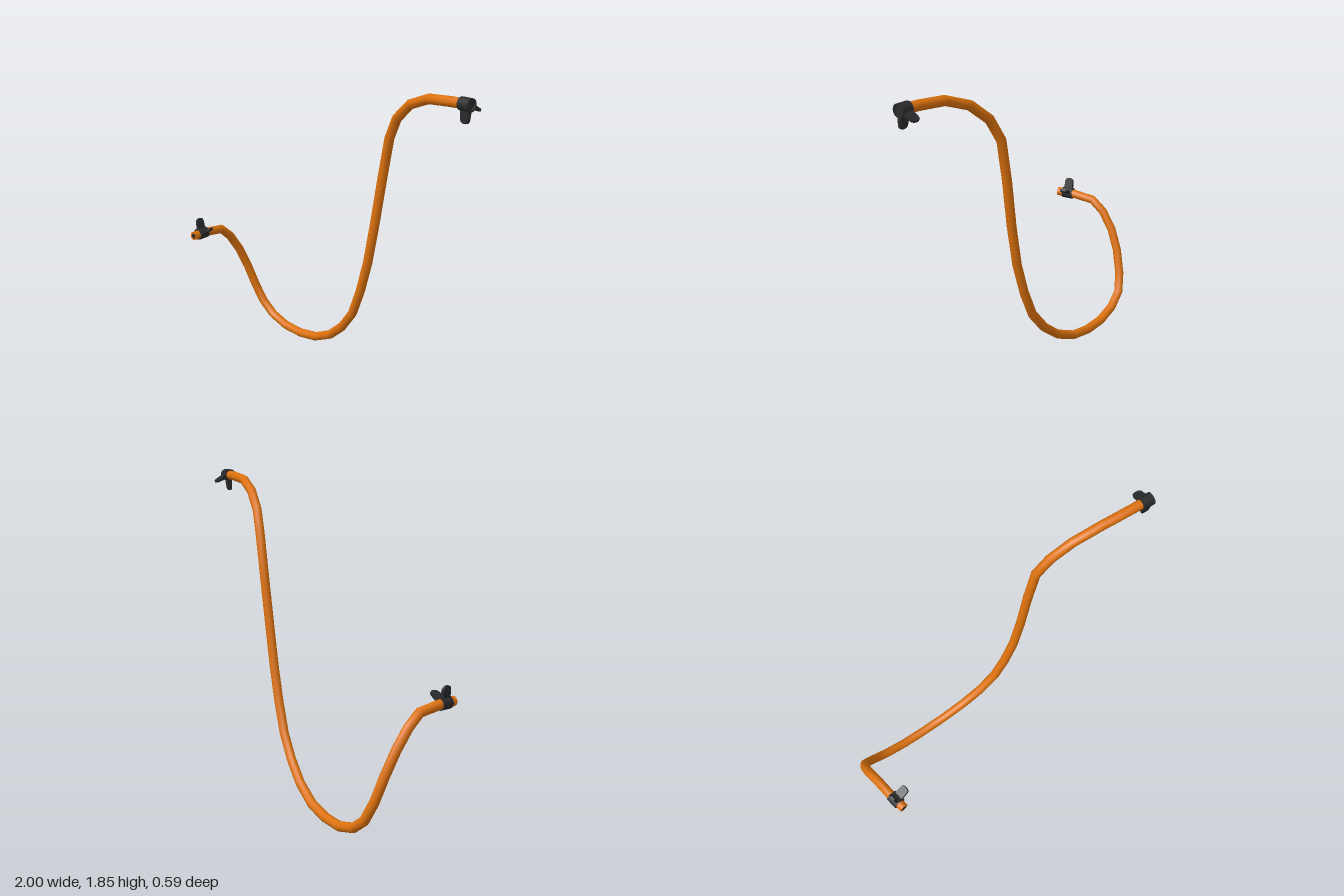
import * as THREE from 'three';

const R = 0.028; // hose radius

// Curve that steps exactly through its points, so the hose keeps its bends
class PolyPath extends THREE.Curve {
  constructor(points) {
    super();
    this.points = points.map((p) => new THREE.Vector3(...p));
  }
  index(u) { return Math.round(u * (this.points.length - 1)); }
  getPoint(u, target = new THREE.Vector3()) { return target.copy(this.points[this.index(u)]); }
  getPointAt(u, target) { return this.getPoint(u, target); }
  getTangentAt(u, target = new THREE.Vector3()) {
    const p = this.points, i = this.index(u), dir = new THREE.Vector3();
    target.set(0, 0, 0);
    if (i > 0) target.add(dir.subVectors(p[i], p[i - 1]).normalize());
    if (i < p.length - 1) target.add(dir.subVectors(p[i + 1], p[i]).normalize());
    return target.normalize();
  }
}

function add(parent, name, geometry, material) {
  const mesh = new THREE.Mesh(geometry, material);
  mesh.name = name;
  parent.add(mesh);
  return mesh;
}

// Spring clamp around local z, with two finger tabs at the given angles
function makeClamp(name, tabAngles, material) {
  const clamp = new THREE.Group();
  clamp.name = name;
  const h = 0.035, ro = 0.036, ri = 0.0275;
  const profile = [[ri, -h], [ro, -h], [ro, h], [ri, h], [ri, -h]].map((p) => new THREE.Vector2(...p));
  // separate bands keep the rim edges crisp
  for (let i = 0; i < 4; i++) {
    add(clamp, 'clampBand', new THREE.LatheGeometry([profile[i], profile[i + 1]], 16), material).rotation.x = Math.PI / 2;
  }
  const w = 0.027, tip = 0.099;
  const outline = new THREE.Shape();
  outline.moveTo(0.03, -w);
  outline.lineTo(tip - 0.022, -w);
  outline.quadraticCurveTo(tip, -w, tip, 0);
  outline.quadraticCurveTo(tip, w, tip - 0.022, w);
  outline.lineTo(0.03, w);
  outline.closePath();
  for (const angle of tabAngles) {
    const geo = new THREE.ExtrudeGeometry(outline, { depth: 0.026, bevelEnabled: false, curveSegments: 5 });
    geo.translate(0, 0, -0.013).rotateX(Math.PI / 2);
    // thin the tab towards its tip
    const pos = geo.attributes.position;
    for (let i = 0; i < pos.count; i++) {
      pos.setY(i, pos.getY(i) * (1 - 0.55 * (pos.getX(i) - 0.03) / (tip - 0.03)));
    }
    geo.computeVertexNormals();
    add(clamp, 'clampTab', geo, material).rotation.z = THREE.MathUtils.degToRad(angle);
  }
  return clamp;
}

export function createModel() {
  const group = new THREE.Group();
  group.name = 'hoseWithClamps';
  const orange = new THREE.MeshStandardMaterial({ color: 0xdd720e });
  const black = new THREE.MeshStandardMaterial({ color: 0x2a2b2c });
  orange.name = 'orange rubber';
  black.name = 'black metal';

  // Centre line from the upper end to the lower end
  const path = new PolyPath([
    [0.985, 1.823, -0.178], [0.94, 1.823, -0.178], [0.86, 1.82, -0.18], [0.69, 1.807, -0.19],
    [0.53, 1.75, -0.213], [0.405, 1.65, -0.235], [0.33, 1.52, -0.252], [0.28, 1.27, -0.25],
    [0.233, 0.995, -0.243], [0.18, 0.738, -0.24], [0.115, 0.535, -0.242], [0.04, 0.364, -0.246],
    [-0.067, 0.235, -0.253], [-0.195, 0.134, -0.262], [-0.35, 0.064, -0.268], [-0.505, 0.037, -0.267],
    [-0.66, 0.04, -0.262], [-0.794, 0.08, -0.254], [-0.885, 0.15, -0.242], [-0.933, 0.262, -0.212],
    [-0.96, 0.406, -0.167], [-0.972, 0.535, -0.11], [-0.97, 0.645, -0.037], [-0.957, 0.712, 0.04],
    [-0.932, 0.728, 0.18], [-0.907, 0.728, 0.285],
  ]);
  add(group, 'hose', new THREE.TubeGeometry(path, path.points.length - 1, R, 10, false), orange);

  // Open lower mouth of the hose: rim and dark bore
  const mouth = new THREE.Group();
  mouth.name = 'hoseMouth';
  mouth.position.copy(path.getPointAt(1));
  mouth.rotation.y = 0.23;
  add(mouth, 'mouthRim', new THREE.RingGeometry(0.017, R, 10), orange);
  add(mouth, 'mouthBore', new THREE.CircleGeometry(0.017, 10), black);
  group.add(mouth);

  // Closed upper end inside its clamp
  const end = add(group, 'upperEnd', new THREE.CircleGeometry(0.03, 16), black);
  end.position.set(0.99, 1.823, -0.178);
  end.rotation.y = Math.PI / 2;

  const lowerClamp = makeClamp('lowerClamp', [100, 28], black);
  lowerClamp.position.set(-0.922, 0.73, 0.215);
  lowerClamp.rotation.y = 0.2;
  const upperClamp = makeClamp('upperClamp', [-25, -94], black);
  upperClamp.position.set(0.965, 1.823, -0.178);
  upperClamp.rotation.y = Math.PI / 2;
  group.add(lowerClamp, upperClamp);
  return group;
}
